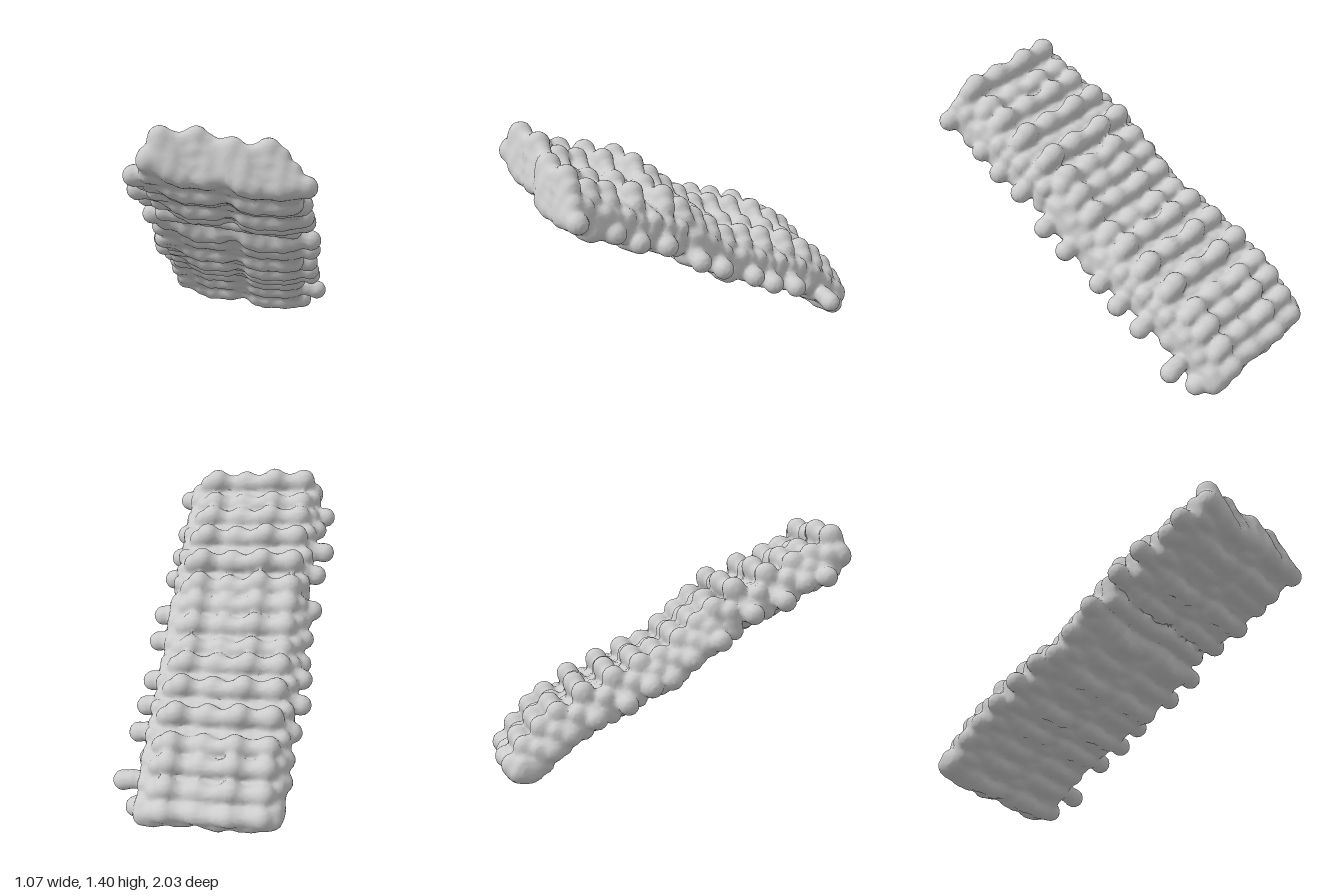
import * as THREE from 'three';

// One entry per ridge, front to back:
// z and y of its upper edge, z and y of its lower edge, x of its right-hand and left-hand end knobs
const RIDGES = [
  [0.88, 1.32, 0.94, 1.14, -0.37, 0.40],
  [0.77, 1.22, 0.82, 1.04, -0.46, 0.31],
  [0.66, 1.18, 0.71, 1.01, -0.42, 0.38],
  [0.50, 1.13, 0.58, 0.91, -0.48, 0.39],
  [0.31, 1.06, 0.42, 0.85, -0.45, 0.40],
  [0.20, 0.96, 0.20, 0.70, -0.45, 0.43],
  [0.11, 0.88, 0.14, 0.70, -0.40, 0.33],
  [0.01, 0.80, 0.06, 0.63, -0.42, 0.43],
  [-0.10, 0.71, -0.05, 0.53, -0.42, 0.33],
  [-0.22, 0.68, -0.17, 0.50, -0.44, 0.42],
  [-0.37, 0.62, -0.30, 0.41, -0.45, 0.43],
  [-0.54, 0.55, -0.46, 0.34, -0.42, 0.44],
  [-0.68, 0.45, -0.60, 0.27, -0.40, 0.35],
  [-0.77, 0.38, -0.70, 0.19, -0.40, 0.48],
  [-0.86, 0.28, -0.81, 0.09, -0.37, 0.39],
  [-0.93, 0.18, -0.89, 0.12, -0.34, 0.28],
];

// Wavy upper and lower outline of every ridge, in equal steps across x
const UPPER = [0.5, 0.98, 0.95, 0.95, 1.1, 1.0, 0.92, 0.95, 0.85, 0.92, 1.05, 0.9, 0.6];
const LOWER = [0.3, 0.22, 0.15, 0.03, 0, 0.08, 0.17, 0.17, 0.08, 0.03, 0, 0.08, 0.15];
const columnX = (i) => -0.375 + 0.059 * i;

// Ball at height t between the lower (0) and upper (1) edge; ridges sink along x and step forward halfway
const ball = ([zt, yt, zb, yb], x, t, r) => ({
  x, y: yb + (yt - yb) * t - 0.12 * x, z: zb + (zt - zb) * t + 0.022 * Math.tanh(x / 0.06), r,
});

function ridgeBalls(ridge) {
  const [, yt, , yb, xRight, xLeft] = ridge;
  const lanes = Math.max(1, Math.round((yt - yb) / 0.055));
  const balls = [];
  UPPER.forEach((upper, i) => {
    for (let j = 0; j <= lanes; j++) {
      const t = THREE.MathUtils.lerp(LOWER[i], upper, j / lanes);
      // Slanting swellings across the face of the ridge
      const swell = Math.cos((2 * Math.PI * (columnX(i) + 0.33 - 0.1 * (1 - t))) / 0.18);
      balls.push(ball(ridge, columnX(i), t, 0.053 + 0.01 * swell));
    }
  });
  // End knobs and their necks
  for (const [x, t, inward] of [[xRight, 0.32, 0.06], [xLeft, 0.22, -0.06]])
    balls.push(ball(ridge, x, t, 0.057), ball(ridge, x + inward, t + 0.04, 0.053));
  return balls;
}

// Web that closes the gap to the next ridge
function webBalls(ridge, n) {
  const next = RIDGES[n + 1];
  if (!next) return [];
  const between = ridge.map((v, i) => (v + next[i]) / 2);
  return UPPER.flatMap((_, i) => [0.2, 0.43, 0.66].map((t) => ball(between, columnX(i), t, 0.05)));
}

// Smoothly blended skin around a set of balls, meshed on a regular grid
function blendedSkin(balls, min, size, step) {
  const n = size.map((s) => Math.ceil(s / step) + 1);
  const stride = [1, n[0], n[0] * n[1]];
  const field = new Float32Array(n[0] * n[1] * n[2]);
  const sharpness = 3;

  // Add up the falloff of every ball
  for (const b of balls) {
    const centre = [b.x, b.y, b.z];
    const lo = centre.map((c, a) => Math.max(0, Math.floor((c - 2 * b.r - min[a]) / step)));
    const hi = centre.map((c, a) => Math.min(n[a] - 1, Math.ceil((c + 2 * b.r - min[a]) / step)));
    for (let k = lo[2]; k <= hi[2]; k++)
      for (let j = lo[1]; j <= hi[1]; j++)
        for (let i = lo[0]; i <= hi[0]; i++) {
          const dx = min[0] + i * step - b.x;
          const dy = min[1] + j * step - b.y;
          const dz = min[2] + k * step - b.z;
          const d2 = (dx * dx + dy * dy + dz * dz) / (b.r * b.r);
          field[i + j * stride[1] + k * stride[2]] += Math.exp(-sharpness * (d2 - 1));
        }
  }

  // One vertex in each cell the skin passes through, at the mean of its edge crossings
  const positions = [];
  const index = [];
  const vertexOf = new Int32Array(field.length).fill(-1);
  const eachCell = (visit) => {
    for (let k = 1; k < n[2] - 1; k++)
      for (let j = 1; j < n[1] - 1; j++)
        for (let i = 1; i < n[0] - 1; i++) visit([i, j, k], i + j * stride[1] + k * stride[2]);
  };
  eachCell((cell, id) => {
    const sum = [0, 0, 0];
    let count = 0;
    for (let corner = 0; corner < 8; corner++)
      for (let a = 0; a < 3; a++) {
        if (corner & (1 << a)) continue;
        const bits = [corner & 1, (corner >> 1) & 1, (corner >> 2) & 1];
        const p = id + bits[0] + bits[1] * stride[1] + bits[2] * stride[2];
        const f0 = field[p];
        const f1 = field[p + stride[a]];
        if (f0 > 1 === f1 > 1) continue;
        // Logarithms turn the falloff into something close to a distance
        const g0 = Math.log(Math.max(f0, 1e-4));
        const g1 = Math.log(Math.max(f1, 1e-4));
        for (let c = 0; c < 3; c++) sum[c] += bits[c] + (c === a ? g0 / (g0 - g1) : 0);
        count++;
      }
    if (!count) return;
    vertexOf[id] = positions.length / 3;
    for (let c = 0; c < 3; c++) positions.push(min[c] + (cell[c] + sum[c] / count) * step);
  });

  // One quad across each grid edge the skin cuts
  eachCell((cell, id) => {
    for (let a = 0; a < 3; a++) {
      const inside = field[id] > 1;
      if (inside === field[id + stride[a]] > 1) continue;
      const sb = stride[(a + 1) % 3];
      const sc = stride[(a + 2) % 3];
      const q = [id - sb - sc, id - sc, id, id - sb].map((c) => vertexOf[c]);
      if (!inside) q.reverse();
      index.push(q[0], q[1], q[2], q[0], q[2], q[3]);
    }
  });

  const geometry = new THREE.BufferGeometry();
  geometry.setAttribute('position', new THREE.Float32BufferAttribute(positions, 3));
  geometry.setIndex(index);
  geometry.computeVertexNormals();
  return geometry;
}

export function createModel() {
  const group = new THREE.Group();
  group.name = 'knobblySlopingSheet';

  const balls = [...RIDGES.flatMap(ridgeBalls), ...RIDGES.flatMap(webBalls)];
  const geometry = blendedSkin(balls, [-0.7, -0.2, -1.15], [1.4, 1.75, 2.3], 0.016);

  // Stand on the ground, centred
  geometry.computeBoundingBox();
  const box = geometry.boundingBox;
  const centre = box.getCenter(new THREE.Vector3());
  geometry.translate(-centre.x, -box.min.y, -centre.z);

  const sheet = new THREE.Mesh(geometry, new THREE.MeshStandardMaterial({ color: 0xcccccc }));
  sheet.name = 'ridgedSheet';
  group.add(sheet);
  return group;
}
